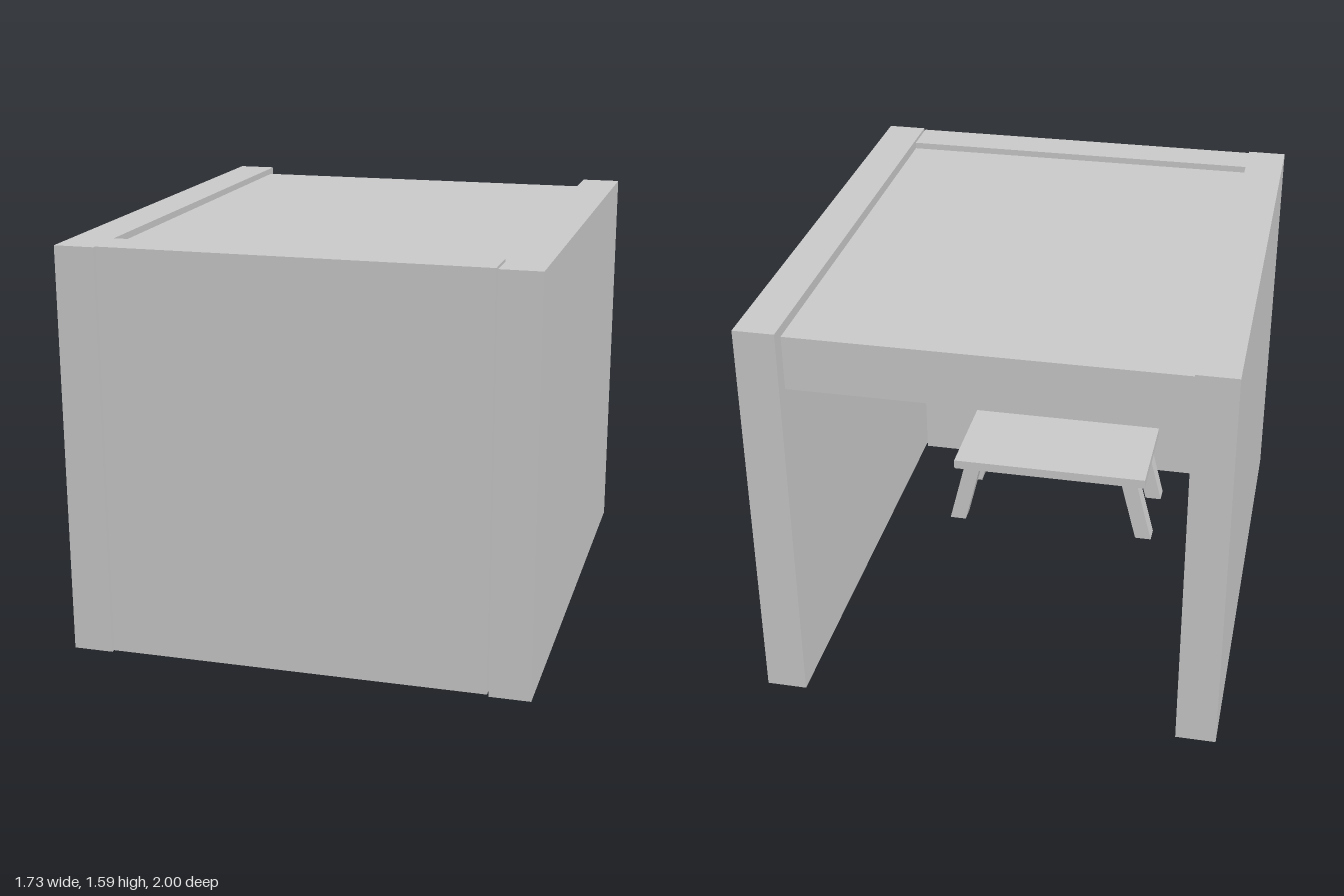
import * as THREE from 'three';

const material = new THREE.MeshStandardMaterial({ color: 0xcccccc, flatShading: true });

// Box given by its min and max on each axis
function slab(name, [x0, x1], [y0, y1], [z0, z1]) {
  const mesh = new THREE.Mesh(new THREE.BoxGeometry(x1 - x0, y1 - y0, z1 - z0), material);
  mesh.position.set((x0 + x1) / 2, (y0 + y1) / 2, (z0 + z1) / 2);
  mesh.name = name;
  return mesh;
}

// Square leg whose foot is sheared outward along x
function splayedLeg(name, footX, z, side) {
  const width = 0.07, height = 0.28, splay = 0.07;
  const geometry = new THREE.BoxGeometry(width, height, width).translate(0, height / 2, 0);
  const pos = geometry.attributes.position;
  for (let i = 0; i < pos.count; i++) {
    pos.setX(i, pos.getX(i) - side * splay * pos.getY(i) / height);
  }
  geometry.computeVertexNormals();
  const mesh = new THREE.Mesh(geometry, material);
  mesh.position.set(footX, 0, z);
  mesh.name = name;
  return mesh;
}

export function createModel() {
  const model = new THREE.Group();
  model.name = 'shelterWithTable';

  // Open-backed shelter: two side walls, front panel and recessed roof
  const wallY = [0.05, 1.585];
  const innerX = [-0.717, 0.705];
  model.add(
    slab('rightWall', [-0.867, -0.717], wallY, [-1, 1]),
    slab('leftWall', [0.714, 0.866], wallY, [-1, 1]),
    slab('frontPanel', innerX, wallY, [0.823, 0.985]),
    slab('roof', innerX, [1.355, 1.56], [-0.965, 0.823]),
  );

  // Small table inside
  const table = new THREE.Group();
  table.name = 'table';
  table.add(slab('tableTop', [-0.41, 0.44], [0.28, 0.32], [0.3, 0.75]));
  for (const side of [-1, 1]) {
    for (const [end, z] of [['Back', 0.36], ['Front', 0.69]]) {
      table.add(splayedLeg((side > 0 ? 'left' : 'right') + end + 'Leg', 0.014 + side * 0.421, z, side));
    }
  }
  model.add(table);
  return model;
}
